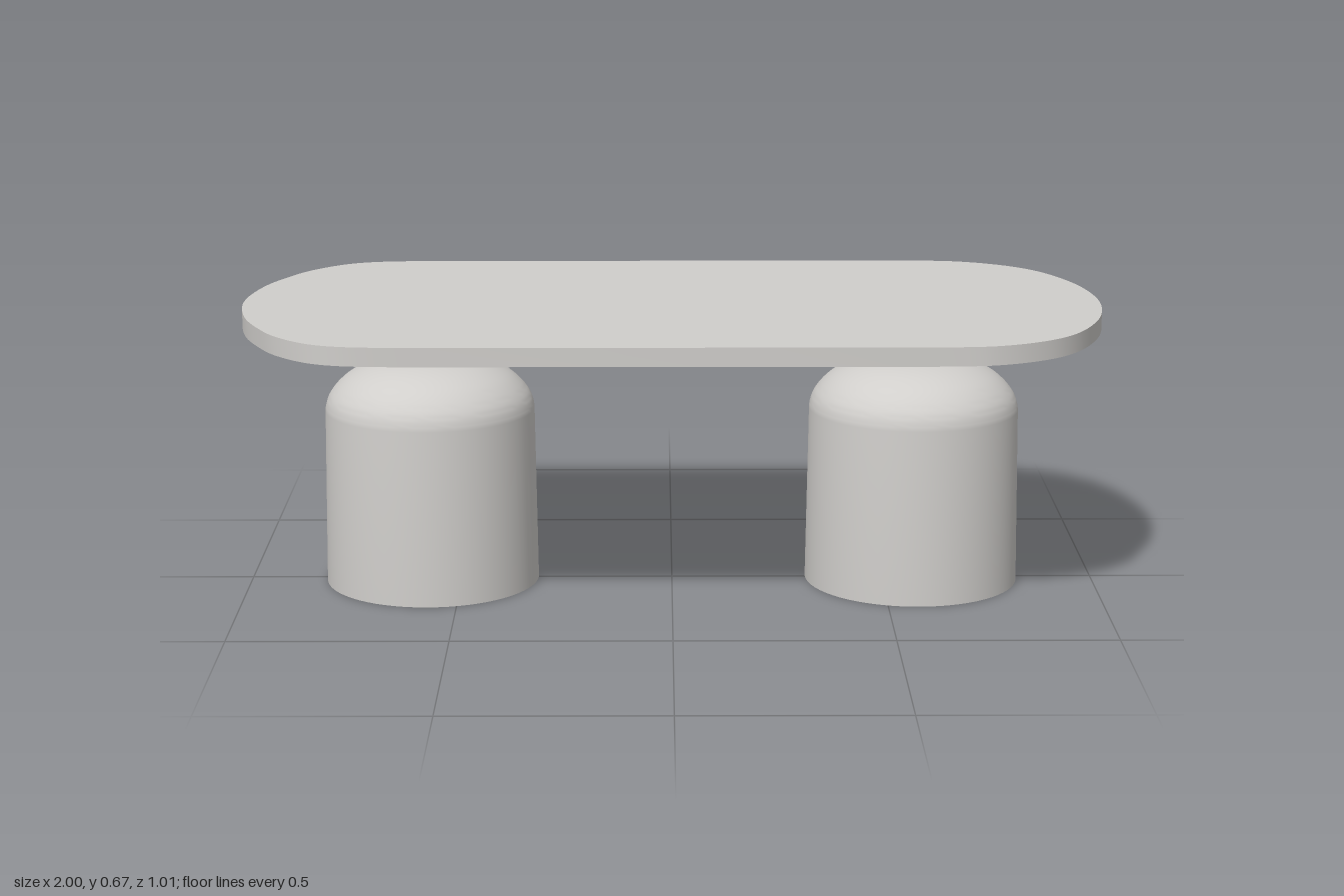
import * as THREE from 'three';
import { toCreasedNormals } from 'three/addons/utils/BufferGeometryUtils.js';

const V = (x, y) => new THREE.Vector2(x, y);

// Revolves a smooth curve, preceded by optional straight-edged points
function lathe(straight, curve) {
  const smooth = new THREE.SplineCurve(curve.map(([x, y]) => V(x, y))).getPoints(24);
  smooth.forEach((p) => { p.x = Math.max(p.x, 0); });
  const points = [...straight.map(([x, y]) => V(x, y)), ...smooth];
  return toCreasedNormals(new THREE.LatheGeometry(points, 64), 0.6);
}

// Rounded end outline: one half mirrored across the long axis
function endCurve(half) {
  const mirrored = half.slice(0, -1).reverse().map(([x, y]) => [x, -y]);
  return [...half, ...mirrored].map(([x, y]) => V(x, y));
}

export function createModel() {
  const model = new THREE.Group();
  model.name = 'table';
  const stone = new THREE.MeshStandardMaterial({ color: 0xd0cecb });
  stone.name = 'warmGrey';

  const add = (geometry, name, parent) => {
    const mesh = new THREE.Mesh(geometry, stone);
    mesh.name = name;
    parent.add(mesh);
    return mesh;
  };

  // Table top: straight long sides with broad rounded ends
  const right = endCurve([[0.6, 0.505], [0.7, 0.495], [0.79, 0.46], [0.87, 0.4], [0.93, 0.31], [0.98, 0.17], [1, 0]]);
  const left = endCurve([[-0.6, 0.505], [-0.72, 0.495], [-0.8, 0.465], [-0.87, 0.4], [-0.92, 0.32], [-0.975, 0.18], [-1, 0]]).reverse();
  const outline = new THREE.Shape();
  outline.moveTo(right[0].x, right[0].y);
  outline.splineThru(right.slice(1));
  outline.lineTo(left[0].x, left[0].y);
  outline.splineThru(left.slice(1));
  outline.closePath();
  const slab = new THREE.ExtrudeGeometry(outline, { depth: 0.043, bevelEnabled: false, curveSegments: 6 });
  slab.rotateX(-Math.PI / 2);
  add(toCreasedNormals(slab, 0.6), 'tableTop', model).position.y = 0.628;

  // Domed drum and the shallow bowl resting on it
  const drum = lathe(
    [[0, 0], [0.252, 0], [0.246, 0.415]],
    [[0.245, 0.425], [0.237, 0.449], [0.217, 0.476], [0.185, 0.502], [0.135, 0.525], [0.07, 0.539], [0, 0.542]]
  );
  const bowl = lathe(
    [],
    [[0, 0.538], [0.06, 0.541], [0.11, 0.551], [0.16, 0.57], [0.205, 0.598], [0.236, 0.63]]
  );
  for (const [side, name] of [[1, 'leftLeg'], [-1, 'rightLeg']]) {
    const leg = new THREE.Group();
    leg.name = name;
    leg.position.set(side * 0.57, 0, 0.004);
    add(drum, 'drum', leg);
    add(bowl, 'bowl', leg);
    leg.position.z = -0.004;
    model.add(leg);
  }
  return model;
}
